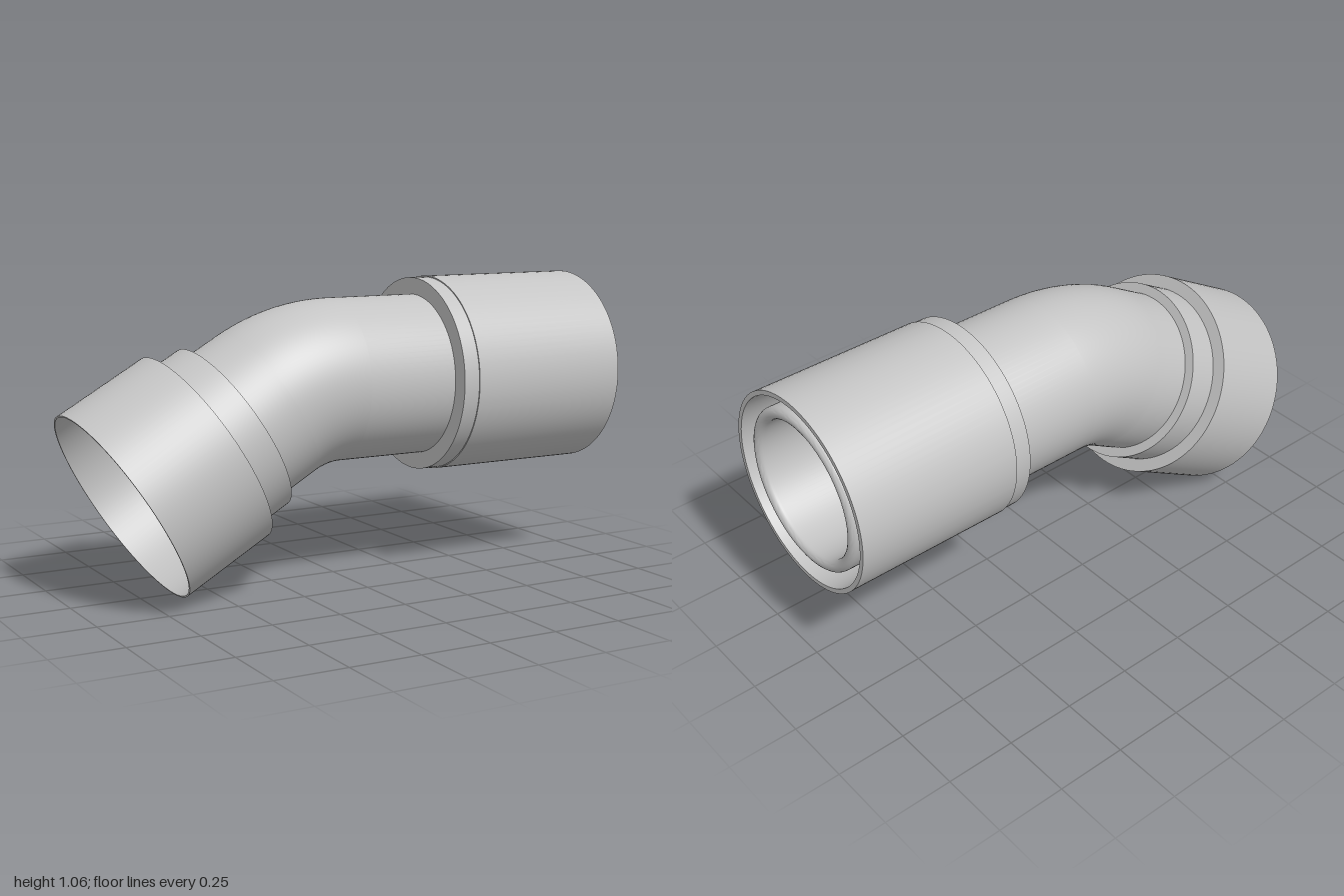
import * as THREE from 'three';
import { toCreasedNormals } from 'three/addons/utils/BufferGeometryUtils.js';

const PIPE = 0.29, BORE = 0.245;             // outer and inner pipe radius
const BEND_R = 0.53, BEND_ANGLE = Math.PI / 6;
const AXIS_Y = 0.705, BEND_X = -0.008;       // start of the bend on the straight axis

export function createModel() {
  const model = new THREE.Group();
  model.name = 'pipeElbow';
  const grey = new THREE.MeshStandardMaterial({ color: 0xc4c4c4, side: THREE.DoubleSide });
  grey.name = 'light grey';

  const add = (parent, name, geometry) => {
    const mesh = new THREE.Mesh(geometry, grey);
    mesh.name = name;
    parent.add(mesh);
    return mesh;
  };
  // Turned part from [radius, distance along axis] pairs, with sharp edges kept
  const turned = (pairs) => toCreasedNormals(
    new THREE.LatheGeometry(pairs.map(([r, t]) => new THREE.Vector2(r, t)), 96), 0.5);

  // Curved middle: outer skin and bore
  const bend = new THREE.Group();
  bend.name = 'bend';
  bend.position.set(BEND_X, AXIS_Y - BEND_R, 0);
  bend.rotation.z = Math.PI / 2;
  for (const [name, r] of [['bendSkin', PIPE], ['bendBore', BORE]]) {
    add(bend, name, new THREE.TorusGeometry(BEND_R, r, 96, 24, BEND_ANGLE));
  }
  model.add(bend);

  // Straight arm, running along +x
  const arm = new THREE.Group();
  arm.name = 'straightArm';
  arm.position.set(BEND_X, AXIS_Y, 0);
  arm.rotation.z = -Math.PI / 2;
  const end = 1 - BEND_X, lip = (PIPE - BORE) / 2;
  const tube = [[PIPE, 0]];
  for (let i = 0; i <= 10; i++) {            // rounded lip of the inner pipe
    const a = i / 10 * Math.PI;
    tube.push([BORE + lip + lip * Math.cos(a), end - 0.03 + lip * Math.sin(a)]);
  }
  tube.push([BORE, 0]);
  add(arm, 'innerPipe', turned(tube));
  add(arm, 'sleeve', turned([
    [PIPE, 0.338], [0.35, 0.338], [0.35, 0.398], [0.354, 0.398],
    [0.354, end], [0.337, end], [0.318, 0.62], [PIPE, 0.62],
  ]));
  model.add(arm);

  // Angled arm with collar and open socket
  const socket = new THREE.Group();
  socket.name = 'angledArm';
  const a = Math.PI / 2 + BEND_ANGLE;
  socket.position.set(BEND_X + BEND_R * Math.cos(a), AXIS_Y - BEND_R + BEND_R * Math.sin(a), 0);
  socket.rotation.z = a;
  add(socket, 'neck', turned([[PIPE, 0], [PIPE, 0.149]]));
  add(socket, 'neckBore', turned([[BORE, 0.284], [BORE, 0]]));
  add(socket, 'collar', turned([[PIPE, 0.149], [0.325, 0.149], [0.325, 0.272]]));
  add(socket, 'bell', turned([
    [0.325, 0.272], [0.372, 0.272], [0.372, 0.624], [0.366, 0.624], [0.366, 0.284], [BORE, 0.284],
  ]));
  model.add(socket);

  return model;
}
